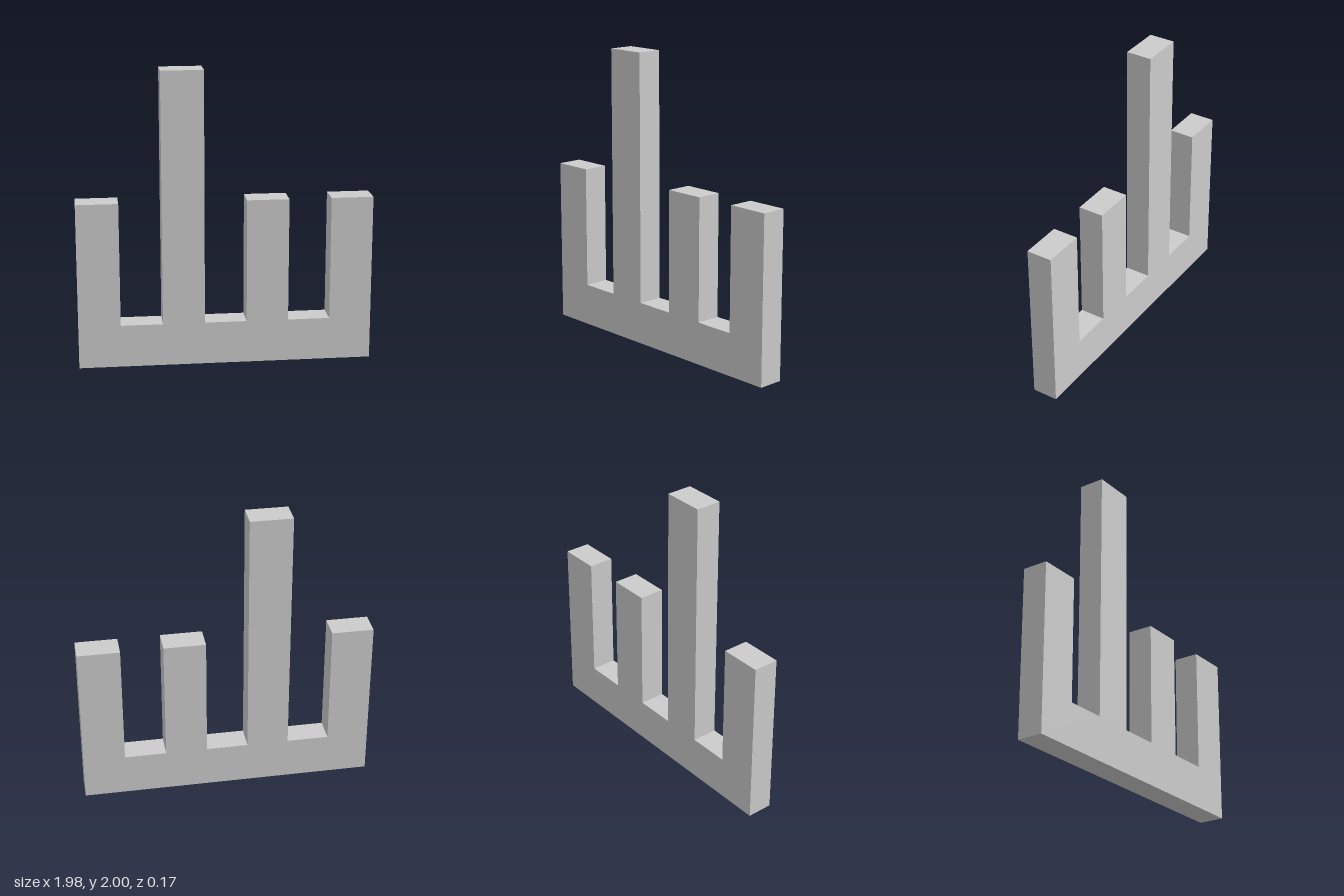
import * as THREE from 'three';

const WIDTH = 1.976, DEPTH = 0.174, BASE = 0.29;
const PRONGS = [1.13, 2, 1.13, 1.13]; // top heights, from -x to +x

export function createModel() {
  const group = new THREE.Group();
  group.name = 'prongedPlate';

  // Outline: prongs and gaps share one equal step of the width
  const step = WIDTH / (PRONGS.length * 2 - 1);
  const outline = new THREE.Shape();
  outline.moveTo(WIDTH / 2, 0);
  for (let i = PRONGS.length - 1; i >= 0; i--) {
    const left = -WIDTH / 2 + i * 2 * step;
    const right = left + step;
    if (i < PRONGS.length - 1) outline.lineTo(right, BASE);
    outline.lineTo(right, PRONGS[i]);
    outline.lineTo(left, PRONGS[i]);
    outline.lineTo(left, i > 0 ? BASE : 0);
  }
  outline.closePath();

  // Base bar and prongs as one solid slab
  const geometry = new THREE.ExtrudeGeometry(outline, { depth: DEPTH, bevelEnabled: false });
  geometry.translate(0, 0, -DEPTH / 2);
  const material = new THREE.MeshStandardMaterial({ color: 0xcccccc, flatShading: true });
  const slab = new THREE.Mesh(geometry, material);
  slab.name = 'baseWithProngs';
  group.add(slab);
  return group;
}
